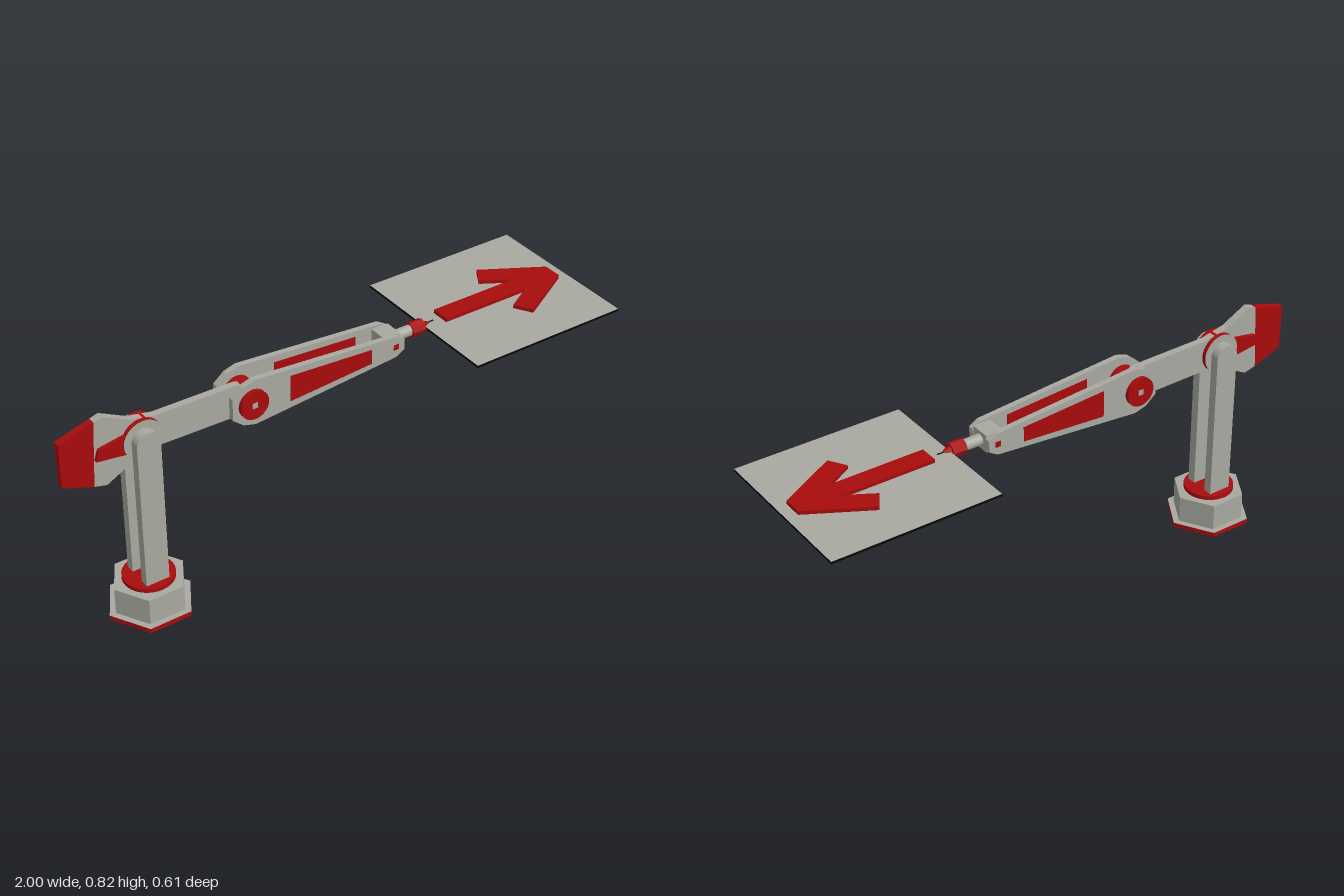
import * as THREE from 'three';

export function createModel() {
  const model = new THREE.Group();
  const material = (name, color) => Object.assign(new THREE.MeshStandardMaterial({ color }), { name });
  const grey = material('warm grey', 0xa9a9a1);
  const red = material('deep red', 0xa80c0c);
  const black = material('black', 0x080808);
  const shoulderX = -0.715, armY = 0.69;

  const add = (name, geometry, mat, x = 0, y = 0, z = 0) => {
    const mesh = new THREE.Mesh(geometry, mat);
    mesh.name = name;
    mesh.position.set(x, y, z);
    model.add(mesh);
    return mesh;
  };
  // Plate drawn in the x-y plane and centred on its thickness
  const plate = (points, depth) => {
    const shape = new THREE.Shape(points.map(([x, y]) => new THREE.Vector2(x, y)));
    return new THREE.ExtrudeGeometry(shape, { depth, bevelEnabled: false, curveSegments: 12 })
      .translate(0, 0, -depth / 2);
  };
  // Cylinder lying along z or x
  const rodZ = (r, length, sides = 32) => new THREE.CylinderGeometry(r, r, length, sides).rotateX(Math.PI / 2);
  const rodX = (r0, r1, length, sides = 24) =>
    new THREE.CylinderGeometry(r1, r0, length, sides).rotateZ(-Math.PI / 2);
  const hexagon = (r, h) => new THREE.CylinderGeometry(r, r, h, 6).rotateY(Math.PI / 6).toNonIndexed();
  const flat = (geometry) => { geometry.computeVertexNormals(); return geometry; };

  // Hexagonal base and turntable
  add('baseRim', flat(hexagon(0.155, 0.018)), [red, grey, grey], shoulderX, 0.009);
  add('baseBlock', flat(hexagon(0.131, 0.1)), grey, shoulderX, 0.068);
  add('turntable', new THREE.CylinderGeometry(0.09, 0.09, 0.016, 32), red, shoulderX, 0.125);

  // Twin columns with round tops
  const columnShape = new THREE.Shape();
  columnShape.moveTo(-0.043, 0.13);
  columnShape.lineTo(0.043, 0.13);
  columnShape.lineTo(0.043, armY);
  columnShape.absarc(0, armY, 0.043, 0, Math.PI, false);
  columnShape.closePath();
  for (const side of [-1, 1]) {
    const geometry = new THREE.ExtrudeGeometry(columnShape, { depth: 0.033, bevelEnabled: false, curveSegments: 16 });
    add('column', geometry.translate(0, 0, -0.0165), grey, shoulderX, 0, side * 0.0455);
  }

  // Shoulder joint
  add('shoulderDisc', rodZ(0.071, 0.058), [red, grey, grey], shoulderX, armY);
  add('shoulderPin', rodZ(0.028, 0.1, 20), grey, shoulderX, armY);

  // Upper arm with counterweight at its back end
  add('upperArm', plate([
    [-0.89, 0.57], [-0.845, 0.558], [-0.75, 0.608], [-0.66, 0.632], [-0.36, 0.626], [-0.3, 0.65], [-0.277, 0.69],
    [-0.3, 0.73], [-0.36, 0.745], [-0.66, 0.75], [-0.75, 0.77], [-0.845, 0.82], [-0.875, 0.811],
  ], 0.026), grey);
  add('counterweight', plate([[-1, 0.612], [-0.89, 0.57], [-0.875, 0.811], [-1, 0.775]], 0.026), red);
  add('counterweightBrace', plate([[-0.883, 0.67], [-0.76, 0.652], [-0.76, 0.728], [-0.87, 0.71]], 0.052), red);

  // Elbow joint
  add('elbowDrum', rodZ(0.053, 0.147), red, -0.33, armY);
  add('elbowPin', new THREE.BoxGeometry(0.02, 0.02, 0.15), grey, -0.33, armY);

  // Paired forearm plates, with red panels on both faces
  const forearm = [
    [-0.405, 0.65], [-0.365, 0.617], [-0.32, 0.604], [0.24, 0.65], [0.273, 0.67],
    [0.273, 0.71], [0.24, 0.73], [-0.32, 0.776], [-0.365, 0.763], [-0.405, 0.73],
  ];
  const panel = [[-0.185, 0.641], [0.138, 0.663], [0.138, 0.717], [-0.185, 0.739]];
  for (const side of [-1, 1]) {
    add('forearmPlate', plate(forearm, 0.021), grey, 0, 0, side * 0.0475);
    add('forearmPanel', plate(panel, 0.025), red, 0, 0, side * 0.0475);
  }

  // Wrist
  add('wristBlock', new THREE.BoxGeometry(0.065, 0.064, 0.074), grey, 0.238, armY);
  add('wristPin', new THREE.BoxGeometry(0.02, 0.02, 0.12), red, 0.238, armY);
  add('wristRod', rodX(0.02, 0.02, 0.075), grey, 0.3, armY);
  add('collar', flat(rodX(0.027, 0.027, 0.052, 8).toNonIndexed()), red, 0.361, armY);
  add('collarTip', rodX(0.018, 0.006, 0.026, 12), red, 0.4, armY);
  add('signStem', rodX(0.005, 0.005, 0.06, 10), black, 0.405, armY);

  // Square sign: grey on top, black below and around
  add('signBoard', new THREE.BoxGeometry(0.61, 0.009, 0.606), [black, black, grey, black, black, black], 0.695, 0.6885);

  // Arrow, red above the board and grey beneath it
  const half = [[0.96, 0.035], [0.745, 0.157], [0.707, 0.095], [0.81, 0.035], [0.465, 0.035]];
  const arrow = [...half, ...half.map(([x, z]) => [x, -z]).reverse()];
  const arrowLayer = () => plate(arrow, 0.0175).rotateX(Math.PI / 2);
  add('arrowTop', arrowLayer(), red, 0, 0.6975);
  add('arrowUnderside', arrowLayer(), grey, 0, 0.68);

  return model;
}
